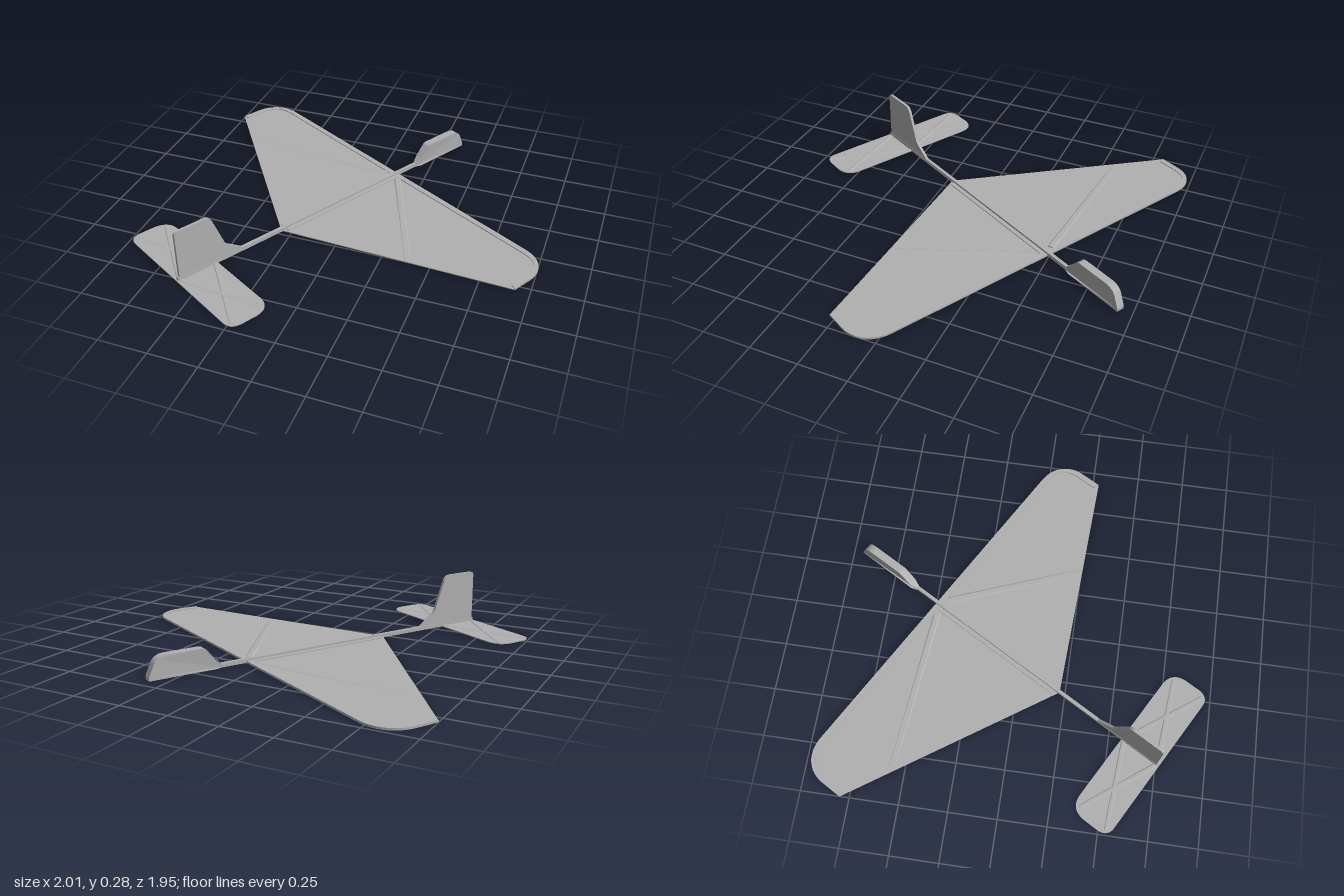
import * as THREE from 'three';

const foam = new THREE.MeshStandardMaterial({ color: 0xb0b0b0 });
foam.name = 'light grey foam';

const V = (x, y) => new THREE.Vector2(x, y);

// Flat plate: outline in (span, forward), from height y0 up by h
function plate(name, shape, y0, h) {
  const g = new THREE.ExtrudeGeometry(shape, { depth: h, bevelEnabled: false, curveSegments: 10 });
  g.rotateX(-Math.PI / 2).translate(0, y0, 0);
  const m = new THREE.Mesh(g, foam);
  m.name = name;
  return m;
}

// Upright slab: outline in (forward, height), centred on the fuselage
function slab(name, shape, width) {
  const g = new THREE.ExtrudeGeometry(shape, { depth: width, bevelEnabled: false, curveSegments: 8 });
  g.translate(0, 0, -width / 2).rotateY(Math.PI / 2);
  const m = new THREE.Mesh(g, foam);
  m.name = name;
  return m;
}

// Low stiffening rib with sloped sides, from a to b, fading to height hb
function rib(name, a, b, width, ha, hb, y0 = 0.005) {
  const [ax, av] = a, [bx, bv] = b;
  const len = Math.hypot(bx - ax, bv - av);
  const g = new THREE.BoxGeometry(len, 1, width);
  const p = g.attributes.position;
  for (let i = 0; i < p.count; i++) {
    const top = p.getY(i) > 0;
    p.setY(i, top ? (p.getX(i) < 0 ? ha : hb) : -0.001);
    if (top) p.setZ(i, p.getZ(i) * 0.55);
  }
  g.computeVertexNormals();
  const m = new THREE.Mesh(g, foam);
  m.name = name;
  m.position.set((ax + bx) / 2, y0, -(av + bv) / 2);
  m.rotation.y = Math.atan2(bv - av, bx - ax);
  return m;
}

// Rounded wing tip running from the leading edge to the tip corner, inset by d
function tipCurve(d) {
  const lead = 0.008 - d, tip = 1.105 - d;
  const curve = new THREE.CubicBezierCurve(
    V(0.94, lead), V(1.04, lead), V(tip, -0.06), V(tip, -0.15 - d * 0.3));
  return [...curve.getPoints(12), V(tip, -0.265 + d * 0.4)];
}
const mirror = (pts) => pts.map((p) => V(-p.x, p.y)).reverse();

export function createModel() {
  const model = new THREE.Group();
  model.name = 'gliderModel';
  const glider = new THREE.Group();
  glider.name = 'glider';
  model.add(glider);

  // Wing with a raised rim along the leading edge and tips
  const outer = tipCurve(0), inner = tipCurve(0.03);
  glider.add(plate('wing', new THREE.Shape([...mirror(outer), ...outer, V(0, -0.816)].reverse()), 0, 0.005));
  const rim = [...mirror(outer), ...outer, ...inner.slice().reverse(), ...mirror(inner).reverse()];
  glider.add(plate('wingRim', new THREE.Shape(rim), 0.004, 0.006));

  // Centre strip and diagonal wing ribs
  glider.add(plate('wingCentreStrip', new THREE.Shape(
    [V(-0.032, -0.79), V(0.032, -0.79), V(0.032, -0.02), V(-0.032, -0.02)]), 0.004, 0.006));
  glider.add(rib('rightWingRib', [-0.045, -0.03], [-0.83, -0.375], 0.042, 0.006, 0.0005));
  glider.add(rib('leftWingRib', [0.04, -0.03], [0.613, -0.5], 0.042, 0.006, 0.0005));

  // Tailplane with rounded corners
  const w = 0.452, f = -1.215, b = -1.447, s = new THREE.Shape();
  s.moveTo(-w + 0.06, b);
  s.lineTo(w - 0.06, b);
  s.quadraticCurveTo(w - 0.005, b, w, b + 0.06);
  s.lineTo(w, f - 0.08);
  s.quadraticCurveTo(w - 0.01, f, w - 0.09, f);
  s.lineTo(-w + 0.09, f);
  s.quadraticCurveTo(-w + 0.01, f, -w, f - 0.08);
  s.lineTo(-w, b + 0.06);
  s.quadraticCurveTo(-w + 0.005, b, -w + 0.06, b);
  glider.add(plate('tailplane', s, 0, 0.005));

  // Crossed ribs on each half of the tailplane
  for (const [side, k] of [['left', 1], ['right', -1]]) {
    glider.add(rib(side + 'TailRibBack', [0, -1.432], [k * 0.415, -1.25], 0.026, 0.004, 0.002));
    glider.add(rib(side + 'TailRibFront', [0, -1.225], [k * 0.425, -1.42], 0.026, 0.004, 0.002));
  }

  // Fuselage stick
  const stick = new THREE.Mesh(new THREE.BoxGeometry(0.018, 0.02, 1.65), foam);
  stick.name = 'fuselageStick';
  stick.position.set(0, 0.011, 0.615);
  glider.add(stick);

  // Fin with a swept front and a small fillet onto the stick
  const fin = new THREE.Shape();
  fin.moveTo(-1.432, 0.002);
  fin.lineTo(-1.06, 0.002);
  fin.lineTo(-1.06, 0.02);
  fin.lineTo(-1.14, 0.075);
  fin.quadraticCurveTo(-1.158, 0.088, -1.165, 0.105);
  fin.lineTo(-1.22, 0.25);
  fin.quadraticCurveTo(-1.232, 0.285, -1.262, 0.285);
  fin.lineTo(-1.41, 0.285);
  fin.quadraticCurveTo(-1.432, 0.285, -1.432, 0.262);
  fin.closePath();
  glider.add(slab('fin', fin, 0.015));

  // Nose pod, narrowing to the stick at its back
  const pod = new THREE.Shape();
  pod.moveTo(0.138, 0.002);
  pod.lineTo(0.175, 0.002);
  pod.lineTo(0.515, 0.002);
  pod.lineTo(0.515, 0.018);
  pod.lineTo(0.49, 0.075);
  pod.quadraticCurveTo(0.474, 0.114, 0.425, 0.115);
  pod.lineTo(0.25, 0.115);
  pod.quadraticCurveTo(0.23, 0.115, 0.22, 0.1);
  pod.lineTo(0.175, 0.05);
  pod.lineTo(0.138, 0.015);
  pod.closePath();
  const nose = slab('nosePod', pod, 0.042);
  const p = nose.geometry.attributes.position;
  for (let i = 0; i < p.count; i++) if (p.getZ(i) > -0.15) p.setX(i, p.getX(i) * 0.45);
  nose.geometry.computeVertexNormals();
  glider.add(nose);

  // Turn the glider so it flies diagonally
  glider.rotation.y = -THREE.MathUtils.degToRad(29.3);
  glider.position.set(0.092, 0, -0.49);
  return model;
}
